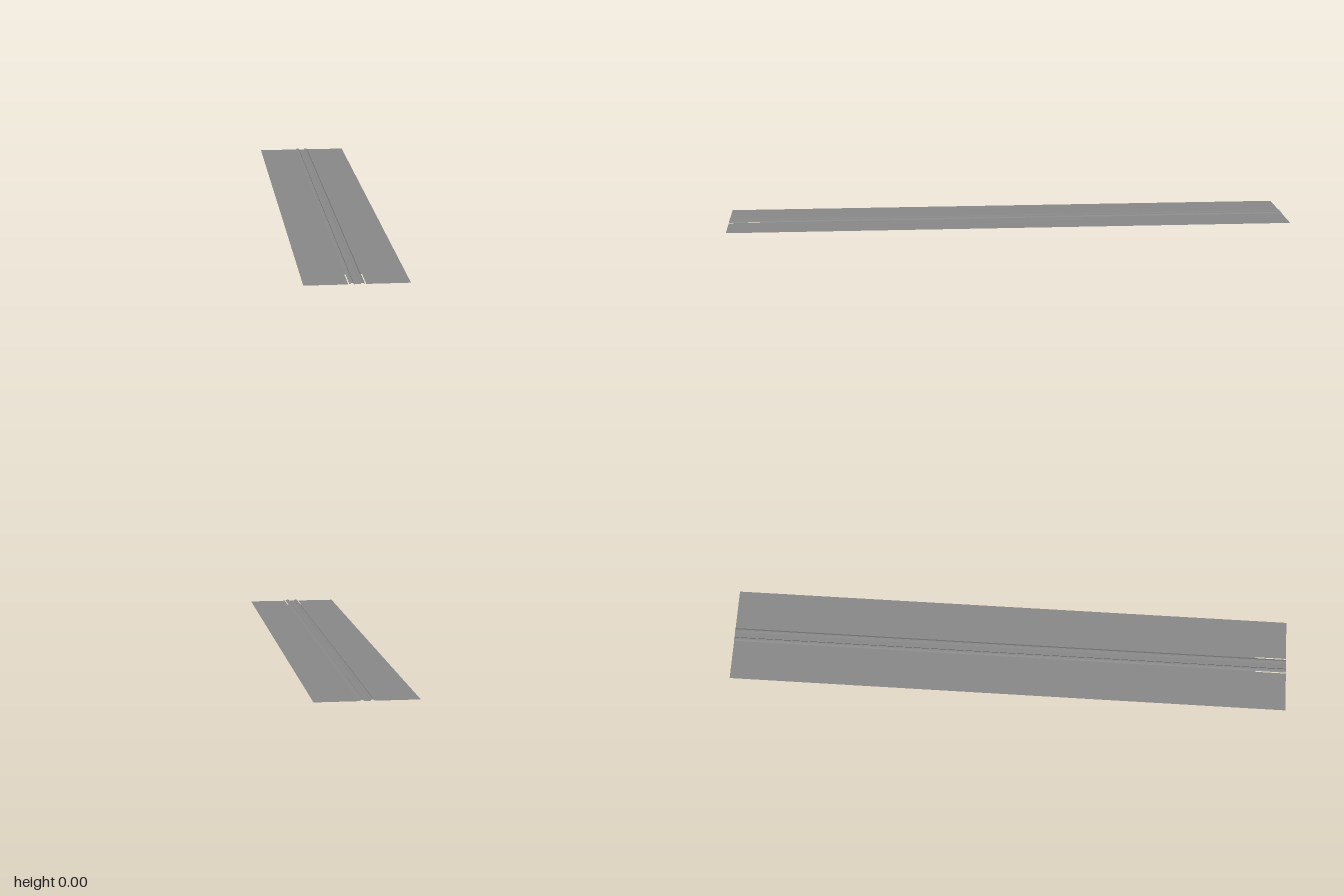
import * as THREE from 'three';

const BACK = -1, FRONT = 1, NOTCH = 0.89;
const HALF = 0.168; // half the deck width
const H = 0.004;    // rib height

const material = new THREE.MeshStandardMaterial({
  color: 0x888888, flatShading: true, side: THREE.DoubleSide,
});

// Sweeps an open cross-section (x, y points running left to right) along z
function strip(name, profile, z0, z1) {
  const pos = [], index = [];
  for (const [x, y] of profile) pos.push(x, y, z0, x, y, z1);
  for (let i = 0; i < profile.length - 1; i++) {
    const a = i * 2;
    index.push(a, a + 1, a + 2, a + 1, a + 3, a + 2);
  }
  const geo = new THREE.BufferGeometry();
  geo.setAttribute('position', new THREE.Float32BufferAttribute(pos, 3));
  geo.setIndex(index);
  geo.computeVertexNormals();
  const mesh = new THREE.Mesh(geo, material);
  mesh.name = name;
  return mesh;
}

export function createModel() {
  const group = new THREE.Group();
  group.name = 'ribbedStrip';

  // Flat band between the two ribs
  group.add(strip('centreBand', [[-0.01, 0], [0.01, 0]], BACK, FRONT));

  for (const [side, s] of [['left', 1], ['right', -1]]) {
    // Mirrors a profile to this side, keeping x ascending so faces point up
    const mirror = (pts) => {
      const out = pts.map(([x, y]) => [x * s, y]);
      return s > 0 ? out : out.reverse();
    };

    // Wide flat panel
    group.add(strip(side + 'Panel', mirror([[0.028, 0], [HALF, 0]]), BACK, FRONT));

    // Low raised rib along the full length
    group.add(strip(side + 'Rib',
      mirror([[0.01, 0], [0.013, H], [0.019, H], [0.0245, 0]]), BACK, FRONT));

    // Narrow joint to the panel stops short, leaving an open slot at the front
    group.add(strip(side + 'Joint',
      mirror([[0.0245, 0], [0.028, 0]]), BACK, NOTCH));
  }
  return group;
}
